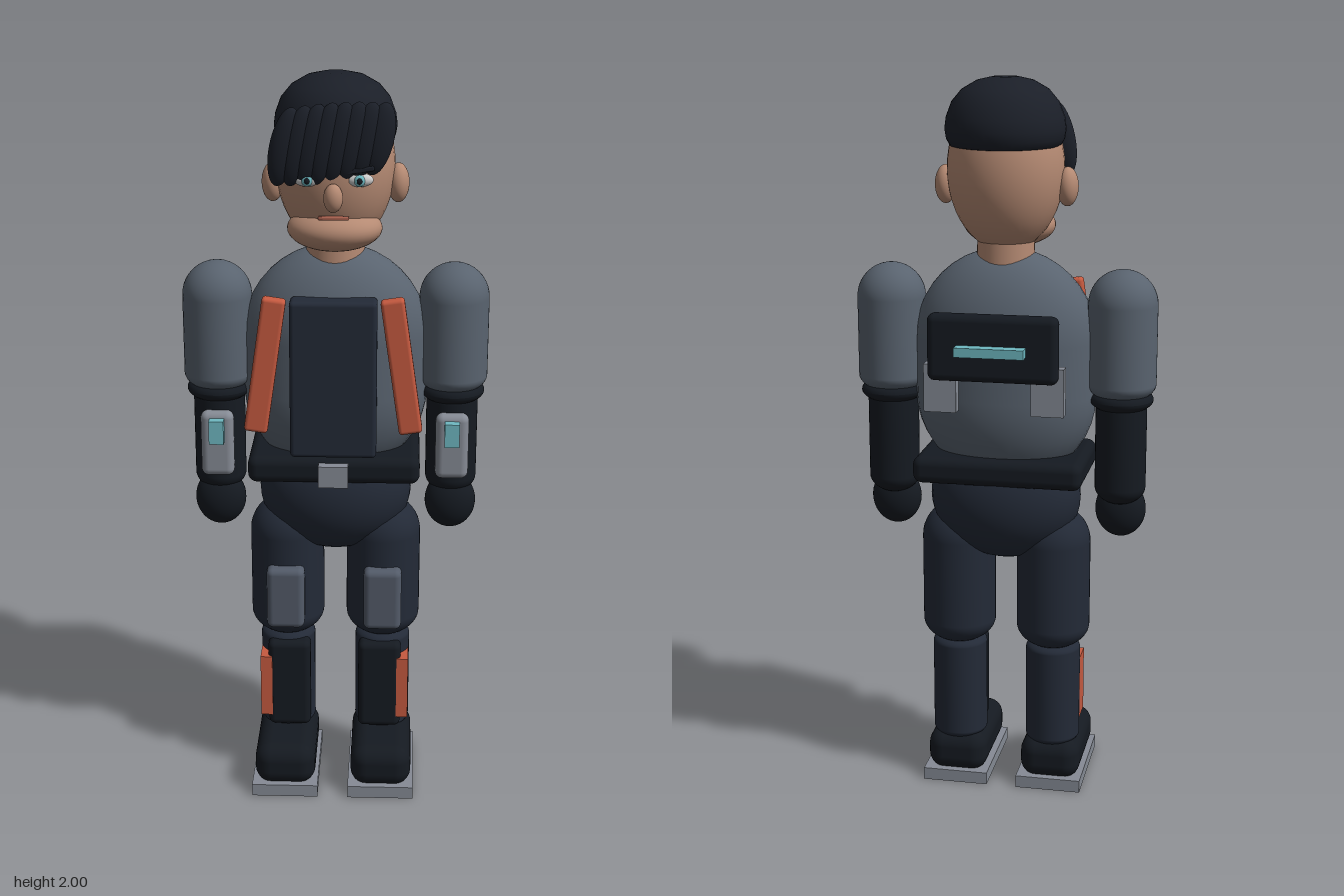
import * as THREE from 'three';
import { RoundedBoxGeometry } from 'three/addons/geometries/RoundedBoxGeometry.js';

const C = {
  navy: 0x232a37, dark: 0x151a21, suit: 0x59636f, silver: 0x868b95, pad: 0x535b69,
  orange: 0xc65a40, teal: 0x6fb9c2, skin: 0xb58a73, hair: 0x1b1f28, white: 0xe4e6e6, lip: 0xa8614f,
};
const materials = {};
for (const k in C) materials[k] = new THREE.MeshStandardMaterial({ color: C[k] });

export function createModel() {
  const model = new THREE.Group();

  function add(parent, name, geometry, color, x, y, z) {
    const mesh = new THREE.Mesh(geometry, materials[color]);
    mesh.name = name;
    mesh.position.set(x, y, z);
    parent.add(mesh);
    return mesh;
  }
  // Ellipsoid from its centre and three radii
  const ball = (parent, name, color, x, y, z, rx, ry, rz) => {
    const m = add(parent, name, new THREE.SphereGeometry(1, 36, 24), color, x, y, z);
    m.scale.set(rx, ry, rz);
    return m;
  };
  // Box from its centre and size, rounded when r > 0
  const box = (parent, name, color, x, y, z, w, h, d, r = 0) =>
    add(parent, name, r ? new RoundedBoxGeometry(w, h, d, 4, r) : new THREE.BoxGeometry(w, h, d), color, x, y, z);
  // Upright round limb with elliptical ends of height top and bottom
  const limb = (parent, name, color, x, y0, y1, z, r, bottom, top) => {
    const pts = [];
    for (let i = 0; i <= 10; i++) {
      const a = (i / 10) * Math.PI / 2;
      pts.push(new THREE.Vector2(r * Math.sin(a), y0 + bottom * (1 - Math.cos(a))));
    }
    for (let i = 0; i <= 10; i++) {
      const a = (i / 10) * Math.PI / 2;
      pts.push(new THREE.Vector2(r * Math.cos(a), y1 - top * (1 - Math.sin(a))));
    }
    return add(parent, name, new THREE.LatheGeometry(pts, 36), color, x, 0, z);
  };
  const group = (name) => {
    const g = new THREE.Group();
    g.name = name;
    model.add(g);
    return g;
  };

  // Torso, neck, belt and hips
  const body = group('body');
  limb(body, 'torso', 'suit', 0, 0.9, 1.55, 0, 0.25, 0.25, 0.25).scale.z = 0.62;
  add(body, 'neck', new THREE.CylinderGeometry(0.075, 0.08, 0.12, 32), 'skin', 0, 1.55, 0);
  box(body, 'chestPlate', 'navy', 0, 1.22, 0.145, 0.23, 0.43, 0.07, 0.012);
  box(body, 'belt', 'dark', 0, 0.955, 0, 0.465, 0.075, 0.305, 0.025);
  box(body, 'buckle', 'silver', 0, 0.95, 0.165, 0.08, 0.06, 0.03);
  ball(body, 'hips', 'navy', 0, 0.86, 0, 0.21, 0.18, 0.15);

  // Back unit
  const pack = group('backUnit');
  box(pack, 'backPlate', 'dark', 0, 1.31, -0.18, 0.35, 0.18, 0.05, 0.02);
  box(pack, 'lightBar', 'teal', 0, 1.308, -0.22, 0.185, 0.025, 0.04);

  // Head and face
  const head = group('head');
  ball(head, 'skull', 'skin', 0, 1.76, 0, 0.157, 0.22, 0.155);
  ball(head, 'jaw', 'skin', 0, 1.605, 0.055, 0.125, 0.06, 0.105);
  ball(head, 'nose', 'skin', 0, 1.705, 0.162, 0.025, 0.037, 0.025);
  box(head, 'mouth', 'lip', 0, 1.65, 0.146, 0.08, 0.009, 0.015, 0.003);

  // Hair cap with a tucked-in rim
  const capPoints = [[0, 1.812], [0.125, 1.814], [0.147, 1.822], [0.157, 1.84], [0.161, 1.865], [0.157, 1.895],
    [0.142, 1.935], [0.115, 1.967], [0.075, 1.99], [0.035, 1.999], [0, 2]].map((p) => new THREE.Vector2(...p));
  add(head, 'hairCap', new THREE.LatheGeometry(capPoints, 40), 'hair', 0, 0, -0.008);

  // Swept fringe of overlapping locks
  for (let i = 0; i < 8; i++) {
    const t = i / 7;
    const lock = ball(head, 'fringeLock', 'hair', -0.125 + 0.24 * t, 1.83 + 0.022 * t,
      0.135 + 0.008 * Math.sin(Math.PI * t), 0.038, 0.102 - 0.008 * t + 0.008 * Math.sin(Math.PI * t), 0.026);
    lock.rotation.z = -0.22;
  }

  // Everything that comes in pairs: s = 1 is the model's left
  for (const s of [1, -1]) {
    const side = s > 0 ? 'left' : 'right';

    ball(head, side + 'Ear', 'skin', s * 0.165, 1.715, 0.005, 0.029, 0.052, 0.037);
    ball(head, side + 'Eye', 'white', s * 0.067, 1.748, 0.138, 0.035, 0.018, 0.018);
    ball(head, side + 'Iris', 'teal', s * 0.067, 1.748, 0.152, 0.014, 0.015, 0.009);
    ball(head, side + 'Pupil', 'dark', s * 0.067, 1.748, 0.159, 0.007, 0.008, 0.005);
    box(head, side + 'Brow', 'hair', s * 0.067, 1.775, 0.147, 0.075, 0.013, 0.02, 0.004).rotation.z = s * 0.15;

    box(body, side + 'Strap', 'orange', s * 0.18, 1.26, 0.166, 0.063, 0.37, 0.037, 0.01).rotation.z = s * 0.145;
    box(pack, side + 'Bracket', 'silver', s * 0.145, 1.195, -0.16, 0.088, 0.13, 0.034);

    // Arm with cuff, bracer and fist
    const arm = group(side + 'Arm');
    const ax = s * 0.319;
    limb(arm, 'upperArm', 'suit', ax, 1.14, 1.5, 0, 0.094, 0.05, 0.094);
    limb(arm, 'elbowCuff', 'dark', ax, 1.11, 1.182, 0, 0.087, 0.036, 0.036);
    limb(arm, 'forearm', 'dark', ax, 0.85, 1.17, 0.002, 0.07, 0.05, 0.05);
    box(arm, 'bracer', 'silver', ax, 1.008, 0.075, 0.09, 0.185, 0.045, 0.02);
    box(arm, 'bracerLight', 'teal', s * 0.318, 1.052, 0.107, 0.04, 0.065, 0.036);
    ball(arm, 'fist', 'dark', ax, 0.83, 0.022, 0.07, 0.08, 0.052);

    // Leg with knee pad, shin guard and boot
    const leg = group(side + 'Leg');
    const lx = s * 0.135;
    limb(leg, 'thigh', 'navy', lx, 0.415, 0.83, 0.005, 0.103, 0.07, 0.1);
    box(leg, 'kneePad', 'pad', lx, 0.565, 0.108, 0.105, 0.18, 0.06, 0.018);
    limb(leg, 'shin', 'navy', lx, 0.12, 0.44, 0.008, 0.077, 0.03, 0.03);
    box(leg, 'shinGuard', 'dark', s * 0.128, 0.283, 0.073, 0.12, 0.265, 0.06, 0.018);
    box(leg, 'shinStripe', 'orange', s * 0.193, 0.278, 0.063, 0.033, 0.185, 0.084);
    box(leg, 'boot', 'dark', lx, 0.085, 0.083, 0.17, 0.12, 0.305, 0.045);
    box(leg, 'sole', 'silver', lx, 0.0175, 0.082, 0.185, 0.035, 0.316);
  }
  return model;
}
